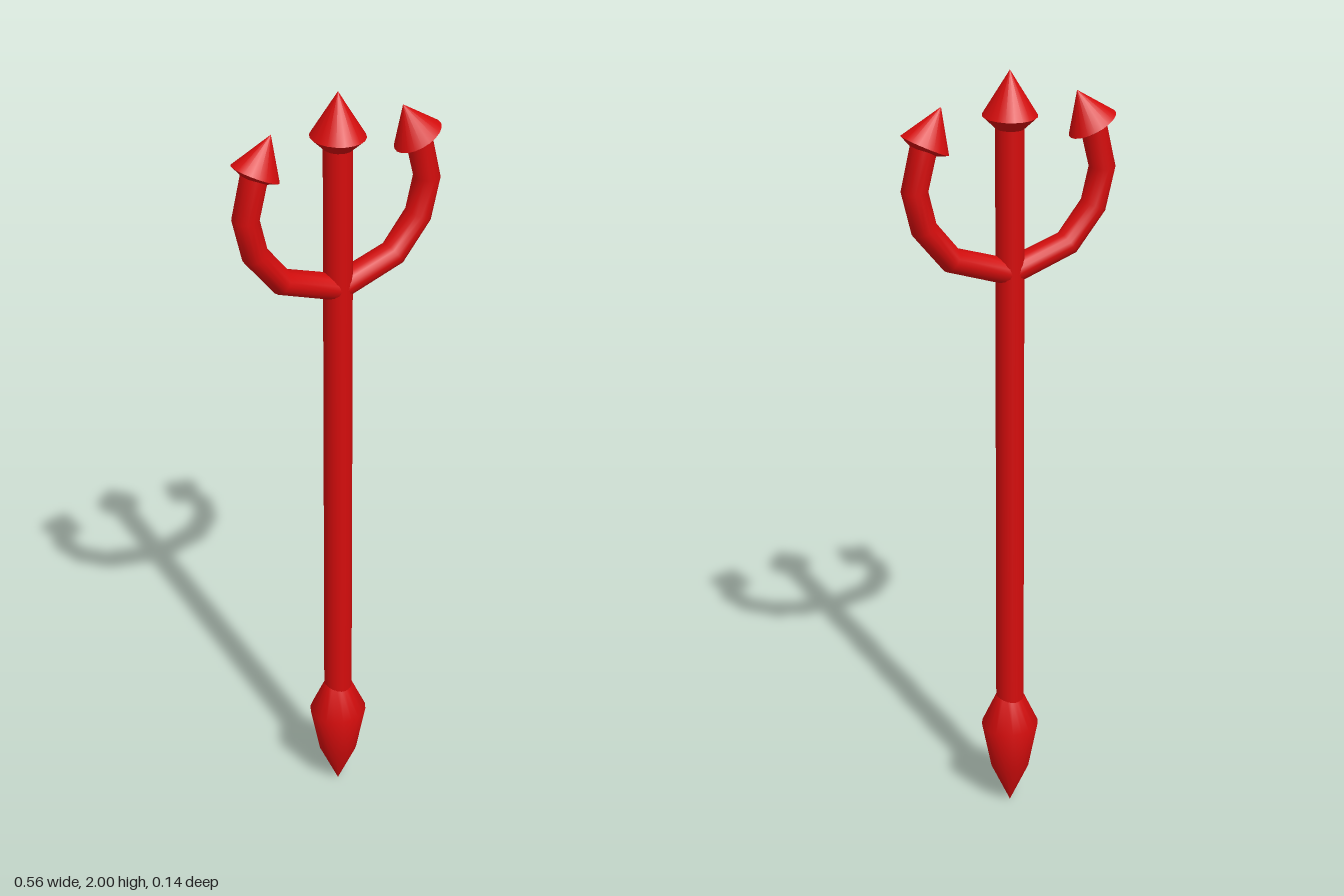
import * as THREE from 'three';
import { toCreasedNormals } from 'three/addons/utils/BufferGeometryUtils.js';

const red = new THREE.MeshStandardMaterial({ color: 0xd40c0c });

function part(name, geometry) {
  const mesh = new THREE.Mesh(geometry, red);
  mesh.name = name;
  return mesh;
}

// Turned part from [radius, height] pairs, bottom to top
function turned(name, profile, sides = 20) {
  const points = profile.map(([r, y]) => new THREE.Vector2(r, y));
  return part(name, toCreasedNormals(new THREE.LatheGeometry(points, sides), 0.7));
}

// Curved side prong with a pointed head; side is +1 or -1
function prong(side) {
  const group = new THREE.Group();
  group.name = side > 0 ? 'leftProng' : 'rightProng';

  const path = new THREE.CatmullRomCurve3(
    [[0, 1.5], [0.155, 1.553], [0.225, 1.64], [0.248, 1.735], [0.22, 1.85]]
      .map(([x, y]) => new THREE.Vector3(side * x, y, 0)));
  path.getUtoTmapping = (u) => u; // one straight segment between each pair of points
  const arm = part('prongArm', new THREE.TubeGeometry(path, 4, 0.032, 16));
  arm.scale.z = 1.13;

  const head = turned('prongHead', [[0, -0.012], [0.036, -0.012], [0.064, 0], [0, 0.098]]);
  head.position.set(side * 0.22, 1.843, 0);
  head.rotation.z = side * 0.45;
  head.scale.z = 0.83;

  group.add(arm, head);
  return group;
}

export function createModel() {
  const model = new THREE.Group();
  model.name = 'trident';

  // Straight shaft
  const shaft = part('shaft', new THREE.CylinderGeometry(0.035, 0.036, 1.6, 20));
  shaft.position.y = 1.09;
  shaft.scale.z = 1.06;

  // Central arrow head
  const head = turned('centreHead', [[0, 1.86], [0.035, 1.86], [0.066, 1.89], [0, 2]]);
  head.scale.z = 1.09;

  // Pointed butt at the foot
  const butt = turned('footSpike',
    [[0, 0], [0.05, 0.11], [0.075, 0.24], [0.036, 0.325], [0, 0.325]]);
  butt.scale.z = 0.96;

  model.add(shaft, head, butt, prong(1), prong(-1));
  return model;
}
